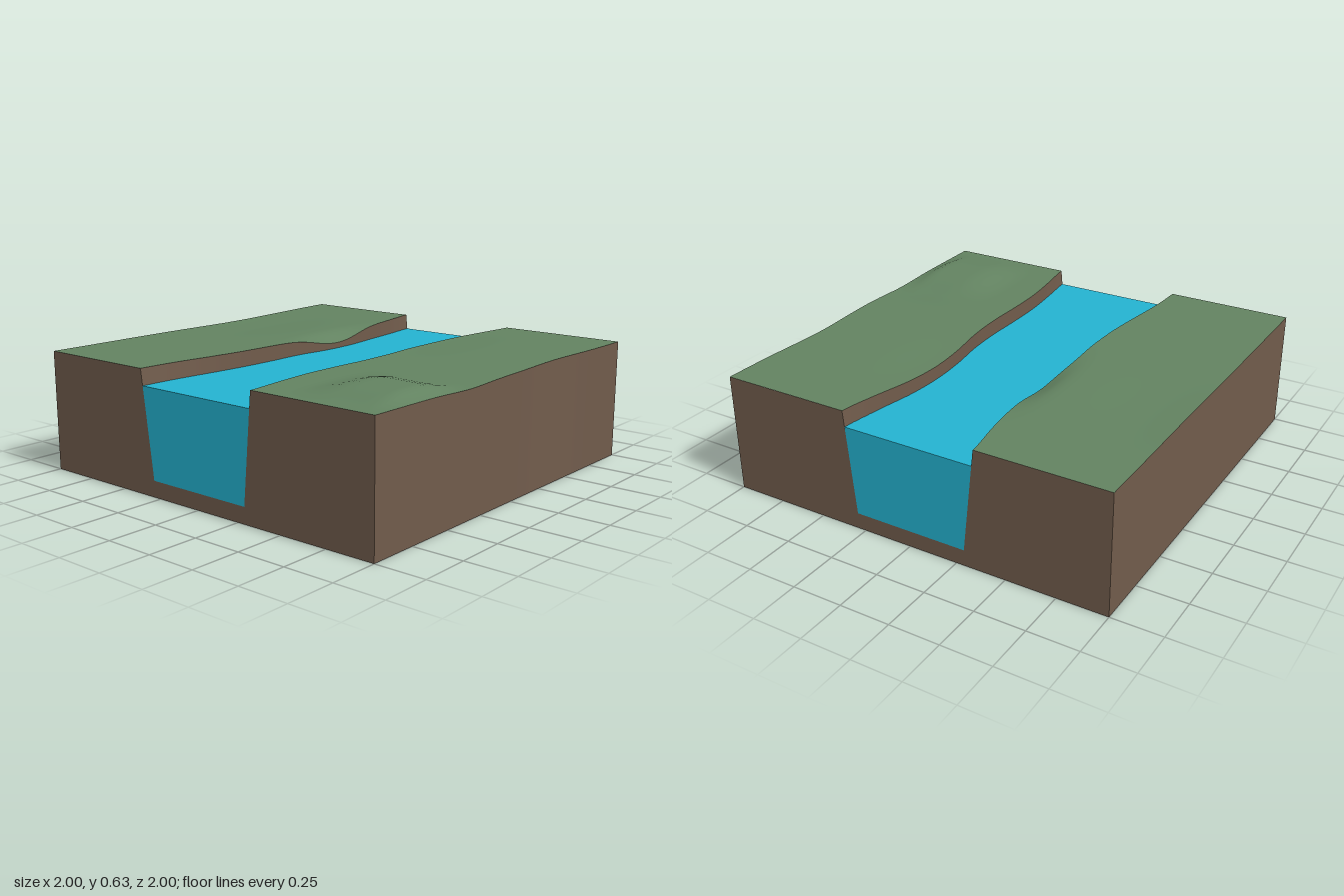
import * as THREE from 'three';
import { toCreasedNormals } from 'three/addons/utils/BufferGeometryUtils.js';

const STEPS = 40;
const WATER_Y = 0.52, BED_Y = 0.08;
const { smoothstep, lerp } = THREE.MathUtils;
const bump = (v, centre, width) => Math.exp(-(((v - centre) / width) ** 2));

// Bank lines along x = -1..1, as z values at even steps
const line = (zs) => {
  const curve = new THREE.SplineCurve(zs.map((z, i) => new THREE.Vector2(i, z)));
  return (x) => curve.getPoint((x + 1) / 2).y;
};
const frontEdge = line([0.338, 0.312, 0.292, 0.29, 0.295, 0.286, 0.26, 0.25, 0.265, 0.303, 0.336]);
const backEdge = line([-0.355, -0.344, -0.318, -0.296, -0.288, -0.288, -0.265, -0.266, -0.29, -0.316, -0.348]);
const frontRim = (x) => 1 - 0.02 * bump(x, 0.38, 0.28);
const backRim = (x) => -1 + 0.007 * bump(x, 0.25, 0.4);

// Channel wall leans in towards the bed
const bedZ = (edge) => Math.sign(edge) * Math.min(0.29, Math.abs(edge));
const wallZ = (edge, y) => lerp(bedZ(edge), edge, (y - BED_Y) / (0.6 - BED_Y));

// Height of the turf
function groundY(x, z) {
  let y = 0.597 + 0.003 * x * x;
  if (z > 0) {
    y += 0.036 * smoothstep(x, -1, -0.7) * (1 - smoothstep(x, -0.6, -0.3))
      * smoothstep(z, 0.46, 0.7) * (1 - smoothstep(z, 0.9, 1));
    y -= 0.009 * bump(x, -0.35, 0.18) * smoothstep(z, 0.5, 1);
    y -= 0.01 * bump(x, 0.4, 0.35) * (1 - smoothstep(z, 0.25, 0.6));
  } else {
    y -= 0.01 * bump(x, 0.25, 0.4) * bump(z, -0.8, 0.25);
    y -= 0.05 * bump(x, 0.27, 0.24) * bump(z, -0.25, 0.07);
  }
  return y;
}

// Sweeps a [z, y] cross-section along x; closed sections get end caps
function sweep(section, { closed = false, skip = [] } = {}) {
  const pos = [];
  const rows = [];
  for (let i = 0; i <= STEPS; i++) {
    const x = -1 + (2 * i) / STEPS;
    rows.push(section(x).map(([z, y]) => [x, y, z]));
  }
  const n = rows[0].length;
  for (let i = 0; i < STEPS; i++) {
    for (let j = 0; j < (closed ? n : n - 1); j++) {
      if (skip.includes(j)) continue;
      const k = (j + 1) % n;
      const a = rows[i][j], b = rows[i + 1][j], c = rows[i + 1][k], d = rows[i][k];
      pos.push(...a, ...b, ...c, ...a, ...c, ...d);
    }
  }
  if (closed) {
    for (const [row, flip] of [[rows[0], false], [rows[STEPS], true]]) {
      const outline = row.map((p) => new THREE.Vector2(p[2], p[1]));
      for (const f of THREE.ShapeUtils.triangulateShape(outline, [])) {
        const order = flip ? [f[2], f[1], f[0]] : f;
        for (const v of order) pos.push(...row[v]);
      }
    }
  }
  const geo = new THREE.BufferGeometry();
  geo.setAttribute('position', new THREE.Float32BufferAttribute(pos, 3));
  return toCreasedNormals(geo, 0.7);
}

// Turf cross-section from one z line to another
const turf = (from, to, n = 24) => (x) => Array.from({ length: n + 1 }, (_, i) => {
  const z = lerp(from(x), to(x), i / n);
  return [z, groundY(x, z)];
});

export function createModel() {
  const group = new THREE.Group();
  const add = (name, geo, color) => {
    const mesh = new THREE.Mesh(geo, new THREE.MeshStandardMaterial({ color }));
    mesh.name = name;
    group.add(mesh);
  };

  // Soil block with the river channel cut through it (tops left to the turf)
  const soil = (x) => {
    const f = frontEdge(x), b = backEdge(x), fr = frontRim(x), br = backRim(x);
    return [
      [1, 0], [fr, groundY(x, fr)], [f, groundY(x, f)], [bedZ(f), BED_Y],
      [bedZ(b), BED_Y], [b, groundY(x, b)], [br, groundY(x, br)], [-1, 0],
    ];
  };
  add('soil', sweep(soil, { closed: true, skip: [1, 5] }), 0x705b4b);

  // Grass on both banks
  add('frontGrass', sweep(turf(frontRim, frontEdge)), 0x628260);
  add('backGrass', sweep(turf(backEdge, backRim)), 0x628260);

  // River water filling the channel
  const water = (x) => {
    const f = frontEdge(x), b = backEdge(x);
    return [
      [bedZ(f), BED_Y], [wallZ(f, WATER_Y), WATER_Y],
      [wallZ(b, WATER_Y), WATER_Y], [bedZ(b), BED_Y],
    ];
  };
  add('water', sweep(water, { closed: true }), 0x24b2cf);

  return group;
}
